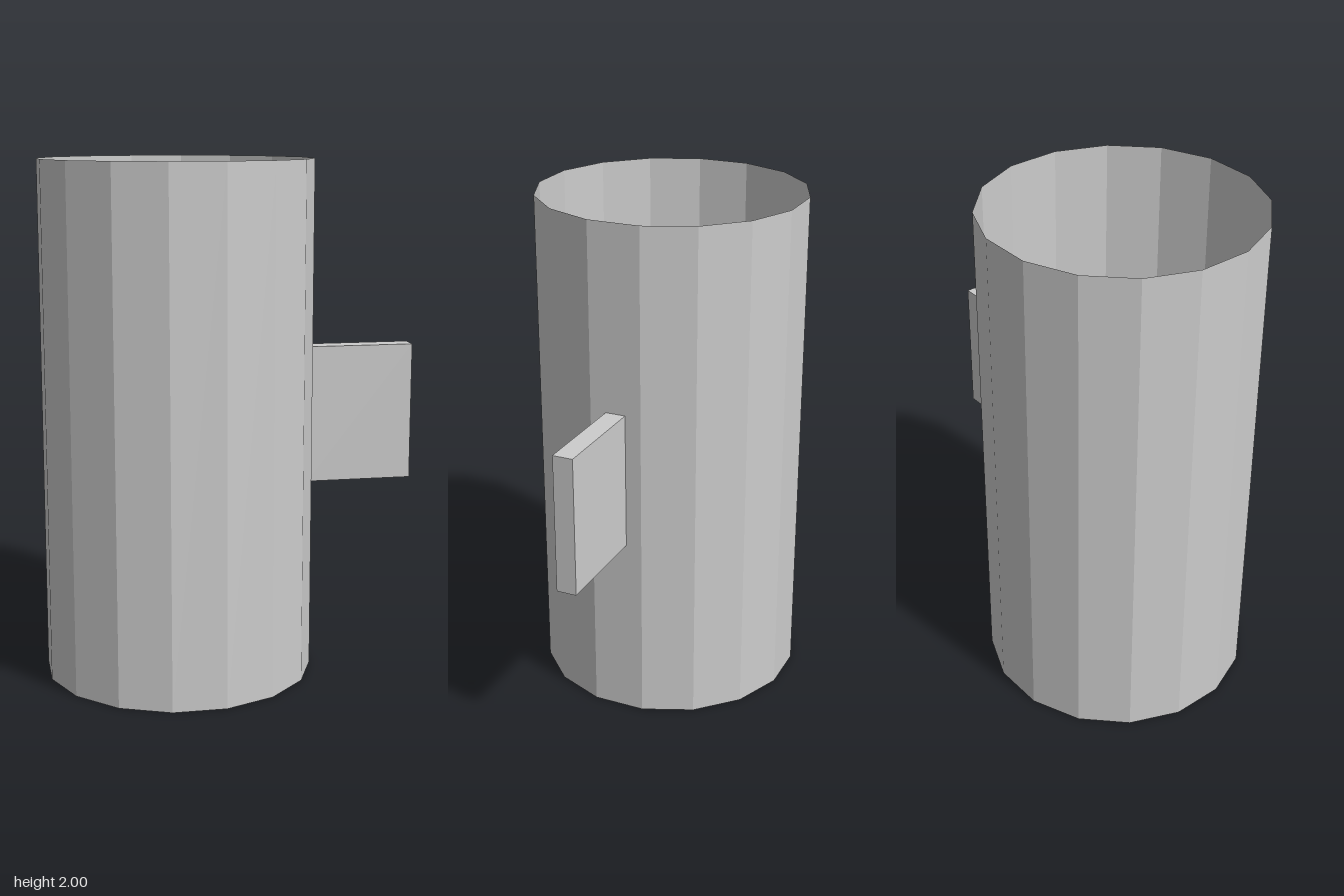
import * as THREE from 'three';

const SIDES = 16, RADIUS = 0.526, HEIGHT = 2;

export function createModel() {
  const group = new THREE.Group();
  const grey = new THREE.MeshStandardMaterial({ color: 0xcccccc, flatShading: true, side: THREE.DoubleSide });
  grey.name = 'light grey';

  const add = (name, geometry, x, y, z) => {
    const mesh = new THREE.Mesh(geometry, grey);
    mesh.name = name;
    mesh.position.set(x, y, z);
    group.add(mesh);
    return mesh;
  };

  // Faceted cup: thin open wall closed by a floor
  const cx = -0.202, cz = -0.002;
  add('cupWall', new THREE.CylinderGeometry(RADIUS, RADIUS, HEIGHT, SIDES, 1, true), cx, HEIGHT / 2, cz);
  const floor = add('cupFloor', new THREE.CircleGeometry(RADIUS, SIDES), cx, 0, cz);
  floor.rotation.x = Math.PI / 2;

  // Flat handle standing straight out from the middle of one facet
  const angle = Math.PI / SIDES, length = 0.42;
  const reach = RADIUS * Math.cos(angle) + length / 2;
  const handle = add('handle', new THREE.BoxGeometry(length, 0.54, 0.079),
    cx + reach * Math.cos(angle), 1.003, cz + reach * Math.sin(angle));
  handle.rotation.y = -angle;

  return group;
}
